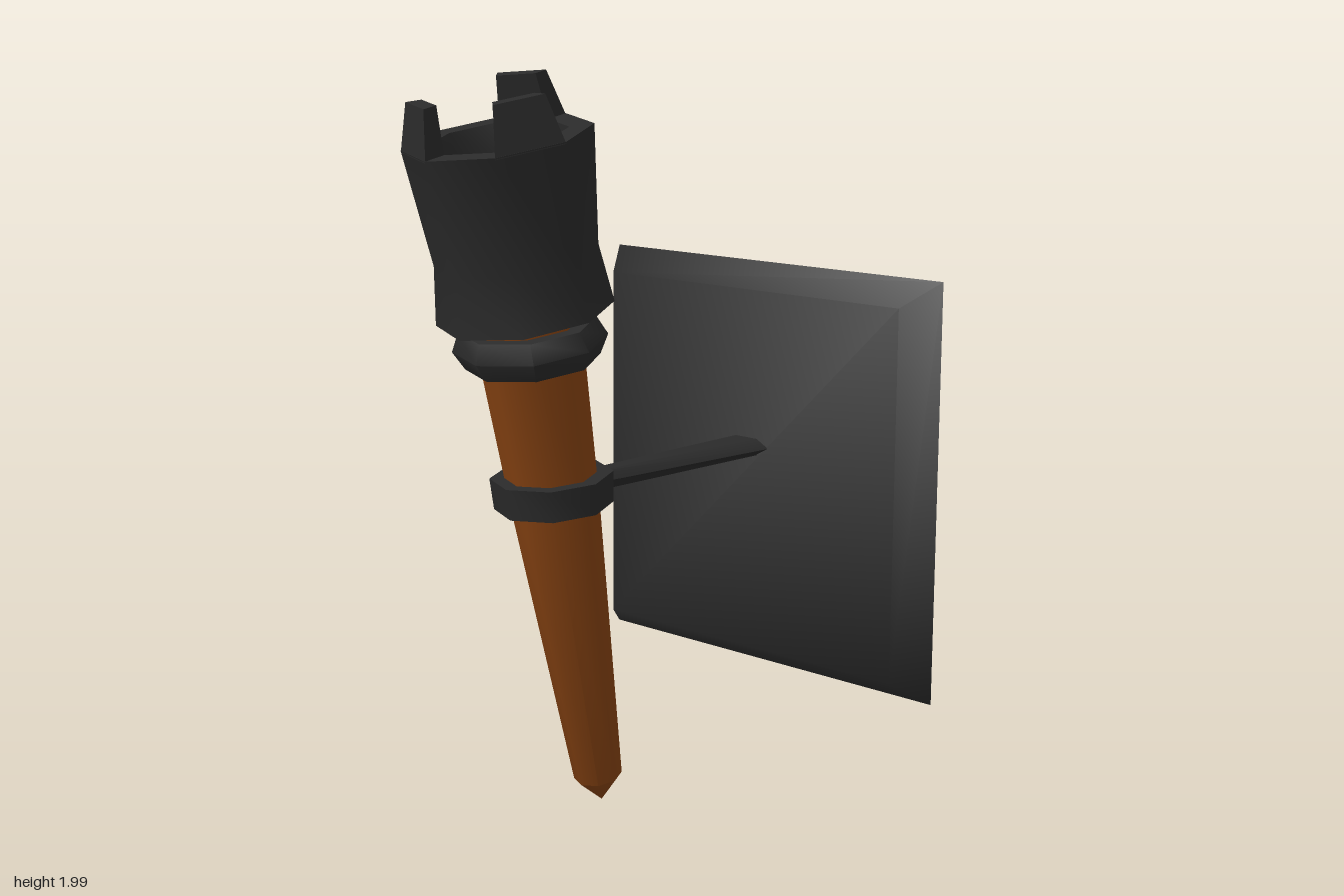
import * as THREE from 'three';
import { toCreasedNormals } from 'three/addons/utils/BufferGeometryUtils.js';

const iron = new THREE.MeshStandardMaterial({ color: 0x2b2b2b });
const ironSheet = new THREE.MeshStandardMaterial({ color: 0x2b2b2b, side: THREE.DoubleSide });
const wood = new THREE.MeshStandardMaterial({ color: 0x8b4513 });

function part(name, geometry, material, crease = 0.87) {
  const mesh = new THREE.Mesh(toCreasedNormals(geometry, crease), material);
  mesh.name = name;
  return mesh;
}

// Eight-sided turned part; profile is [radius, height] pairs
function turned(profile) {
  return new THREE.LatheGeometry(profile.map(([r, y]) => new THREE.Vector2(r, y)), 8);
}

// Move every vertex of a geometry by a rule
function reshape(geometry, rule) {
  const p = geometry.attributes.position;
  const v = new THREE.Vector3();
  for (let i = 0; i < p.count; i++) {
    rule(v.fromBufferAttribute(p, i));
    p.setXYZ(i, v.x, v.y, v.z);
  }
  return geometry;
}

// One raised tooth filling a side of the octagonal rim, narrowing upward
function tooth(side) {
  return reshape(new THREE.BoxGeometry(1, 1, 1), (v) => {
    const top = v.y > 0;
    const outer = v.z > 0;
    const angle = (side + 0.5 + v.x * (top ? 0.84 : 1)) * Math.PI / 4;
    const r = outer ? (top ? 0.21 : 0.243) : (top ? 0.17 : 0.18);
    v.set(r * Math.sin(angle), top ? 1.99 : 1.865, r * Math.cos(angle));
  });
}

export function createModel() {
  const model = new THREE.Group();
  model.name = 'wallTorch';

  // Torch leaning forward from its tip
  const torch = new THREE.Group();
  torch.name = 'torch';
  torch.position.set(0, 0.005, 0.04);
  torch.rotation.x = 0.197;
  model.add(torch);

  torch.add(part('shaft', turned([[0, 0], [0.066, 0.075], [0.117, 0.88], [0.142, 1.42], [0, 1.42]]), wood));

  // Bulging collar below the head
  const collar = part('collar', turned([
    [0.13, -0.05], [0.165, -0.05], [0.19, 0], [0.168, 0.05], [0.13, 0.05], [0.13, -0.05],
  ]), iron);
  collar.position.y = 1.33;
  collar.scale.x = 1.13;
  torch.add(collar);

  // Hollow cup with its floor
  torch.add(part('cup', turned([
    [0, 1.41], [0.23, 1.41], [0.21, 1.565], [0.243, 1.87], [0.18, 1.87], [0.165, 1.78], [0, 1.78],
  ]), iron));
  for (const side of [1, 4, 7]) torch.add(part('cupTooth', tooth(side), iron));

  // Band holding the shaft
  const band = part('band', turned([
    [0.11, -0.042], [0.157, -0.042], [0.163, 0.042], [0.11, 0.042], [0.11, -0.042],
  ]), iron);
  band.position.set(0, 0.91, 0.222);
  band.rotation.x = 0.09;
  model.add(band);

  // Flat six-sided arm, widening toward the wall
  const arm = reshape(new THREE.CylinderGeometry(1, 1, 1, 6).rotateY(Math.PI / 6).rotateX(Math.PI / 2), (v) => {
    const front = v.z > 0;
    // Lay the points of the hexagon sideways
    const x = v.x * (front ? 0.035 : 0.086);
    const y = 0.913 + v.y * (front ? 0.031 : 0.027);
    v.set(x, y, front ? 0.1 : -0.65);
  });
  model.add(part('arm', arm, iron));

  // Wall plate: shallow tray, open toward the wall
  const plate = reshape(new THREE.BoxGeometry(1.2, 1.18, 0.1), (v) => {
    if (v.z > 0) { v.x *= 0.883; v.y *= 0.885; }
    v.y += 0.84;
    v.z -= 0.6;
  });
  plate.setIndex(Array.from(plate.index.array).slice(0, 30));
  model.add(part('wallPlate', plate, ironSheet, 1.4));

  return model;
}
